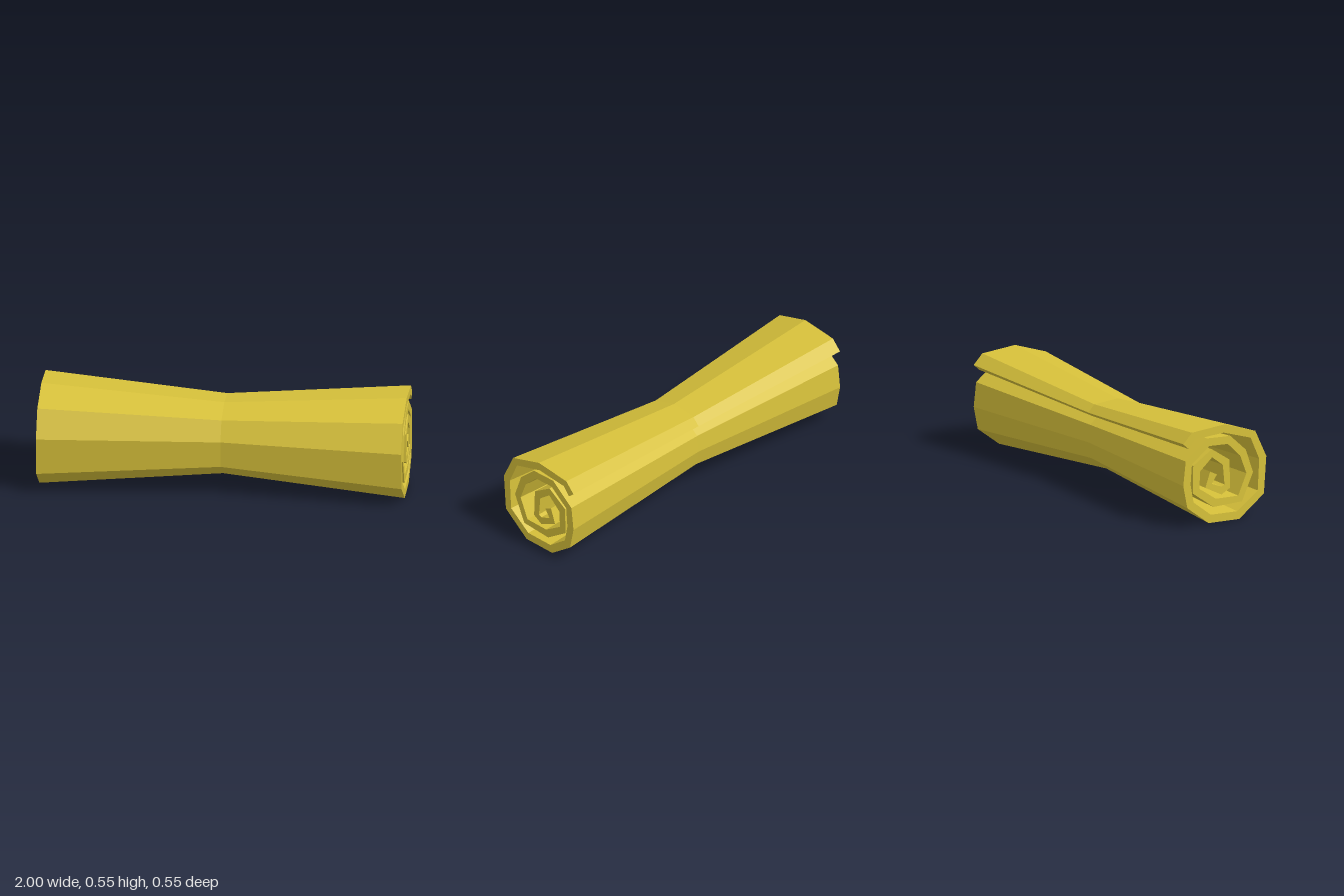
import * as THREE from 'three';

// Cross-section of the rolled sheet, from the loose outer edge to the core:
// [outer z, outer y, inner z, inner y]
const SPIRAL = [
  [-.274, .478, -.238, .446], [-.217, .535, -.196, .494], [0, .549, -.006, .503],
  [.203, .481, .172, .447], [.276, .328, .229, .319], [.260, .119, .219, .142],
  [.097, 0, .083, .046], [-.106, .008, -.092, .053], [-.247, .113, -.206, .140],
  [-.274, .242, -.226, .242], [-.258, .379, -.217, .356], [-.115, .487, -.101, .442],
  [.038, .478, .021, .435], [.140, .385, .103, .356], [.188, .251, .144, .251],
  [.115, .097, .090, .133], [-.074, .094, -.058, .138], [-.210, .190, -.167, .210],
  [-.208, .346, -.163, .308], [-.085, .422, -.083, .376], [.031, .346, -.012, .322],
  [.037, .187, -.001, .210], [-.021, .156, -.021, .201], [-.128, .210, -.085, .226],
  [-.096, .297, -.051, .274],
];

// Stations along the roll; the waist shrinks about its own centre
const STATIONS = [{ x: -1, s: 1 }, { x: 0, s: 0.71 }, { x: 1, s: 1 }];
const CENTRE = { z: -0.05, y: 0.29 };

function rollGeometry() {
  // Closed outline: out along the outer side, back along the inner side
  const outline = [
    ...SPIRAL.map(([z, y]) => [z, y]),
    ...SPIRAL.map(([, , z, y]) => [z, y]).reverse(),
  ];
  const n = outline.length;
  const rings = STATIONS.map(({ x, s }) => outline.map(([z, y]) => [
    x, CENTRE.y + (y - CENTRE.y) * s, CENTRE.z + (z - CENTRE.z) * s,
  ]));

  const positions = [];
  const quad = (a, b, c, d) => positions.push(...a, ...b, ...c, ...a, ...c, ...d);

  // Walls between neighbouring stations, including both sheet edges
  for (let r = 0; r < rings.length - 1; r++) {
    const p = rings[r], q = rings[r + 1];
    for (let i = 0; i < n; i++) {
      const j = (i + 1) % n;
      quad(p[i], p[j], q[j], q[i]);
    }
  }

  // Spiral end faces
  const first = rings[0], last = rings[rings.length - 1];
  for (let i = 0; i < SPIRAL.length - 1; i++) {
    const inner = n - 1 - i;
    quad(last[i], last[i + 1], last[inner - 1], last[inner]);
    quad(first[inner], first[inner - 1], first[i + 1], first[i]);
  }

  const geometry = new THREE.BufferGeometry();
  geometry.setAttribute('position', new THREE.Float32BufferAttribute(positions, 3));
  geometry.computeVertexNormals();
  return geometry;
}

export function createModel() {
  const group = new THREE.Group();
  group.name = 'rolledScroll';
  const material = new THREE.MeshStandardMaterial({ color: 0xd6c03a, flatShading: true });
  const sheet = new THREE.Mesh(rollGeometry(), material);
  sheet.name = 'rolledSheet';
  group.add(sheet);
  return group;
}
